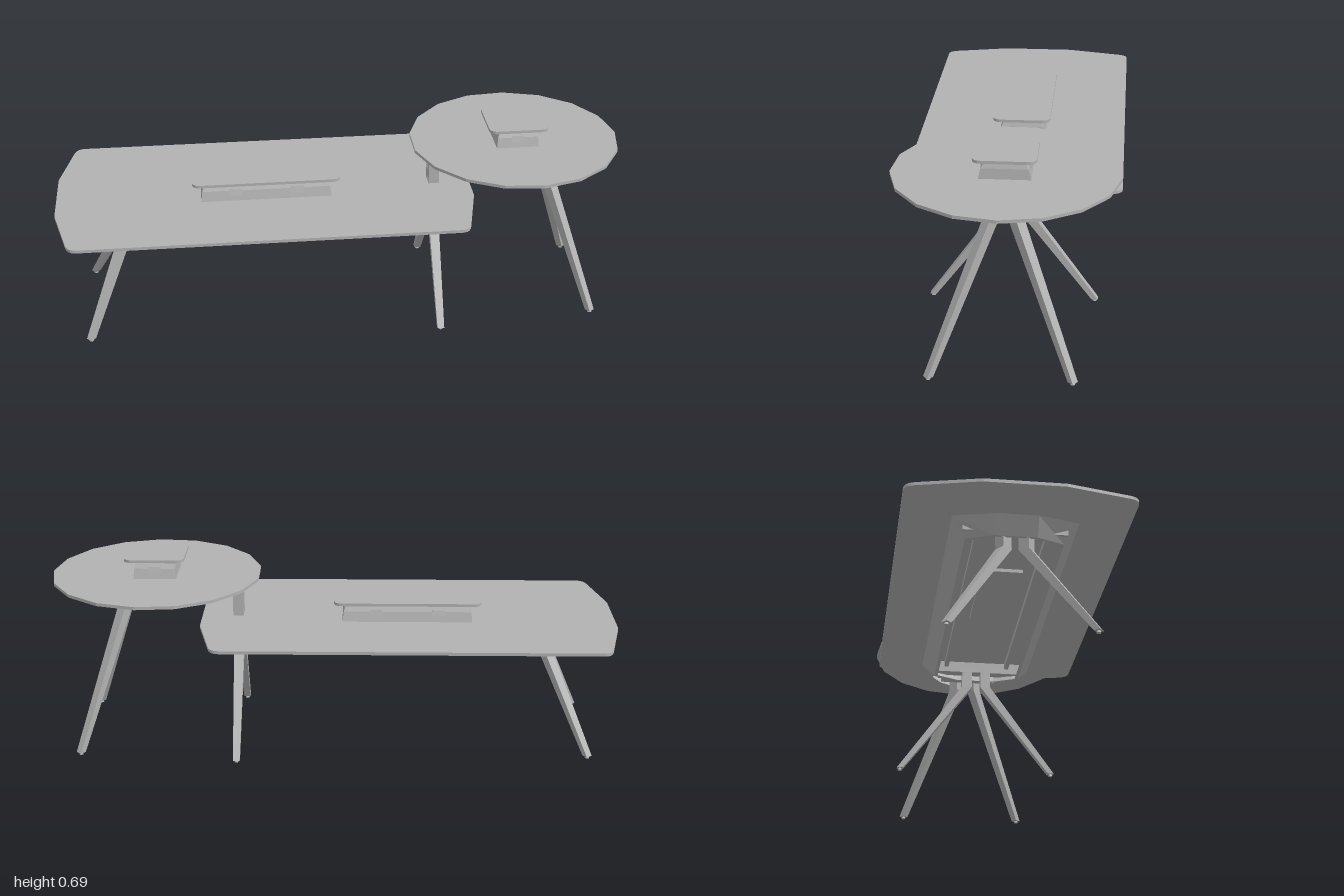
import * as THREE from 'three';

const grey = new THREE.MeshStandardMaterial({ color: 0xb2b2b2 });
grey.name = 'satin grey';
grey.flatShading = true;
grey.side = THREE.DoubleSide;

function add(parent, name, geometry, x = 0, y = 0, z = 0) {
  const mesh = new THREE.Mesh(geometry, grey);
  mesh.name = name;
  mesh.position.set(x, y, z);
  parent.add(mesh);
  return mesh;
}

// box given by its limits
function block(parent, name, x0, x1, y0, y1, z0, z1) {
  return add(parent, name, new THREE.BoxGeometry(x1 - x0, y1 - y0, z1 - z0),
    (x0 + x1) / 2, (y0 + y1) / 2, (z0 + z1) / 2);
}

// skin between rings of [x, y, z] points, optionally capped at both ends
function loft(rings, capped = true) {
  const n = rings[0].length, index = [];
  for (let r = 0; r < rings.length - 1; r++)
    for (let i = 0; i < n; i++) {
      const a = r * n + i, b = r * n + (i + 1) % n;
      index.push(a, a + n, b, b, a + n, b + n);
    }
  if (capped) {
    const last = (rings.length - 1) * n;
    for (let i = 1; i < n - 1; i++) index.push(0, i, i + 1, last, last + i + 1, last + i);
  }
  const g = new THREE.BufferGeometry();
  g.setAttribute('position', new THREE.Float32BufferAttribute(rings.flat(2), 3));
  g.setIndex(index);
  const flat = g.toNonIndexed();
  flat.computeVertexNormals();
  return flat;
}

// horizontal slab cut from an outline in x and z
function slab(shape, thickness) {
  const g = new THREE.ExtrudeGeometry(shape, { depth: thickness, bevelEnabled: false, curveSegments: 5 });
  return g.rotateX(-Math.PI / 2);
}

function roundedRect(hx, hz, r) {
  const s = new THREE.Shape();
  s.moveTo(-hx + r, -hz);
  s.lineTo(hx - r, -hz).quadraticCurveTo(hx, -hz, hx, -hz + r);
  s.lineTo(hx, hz - r).quadraticCurveTo(hx, hz, hx - r, hz);
  s.lineTo(-hx + r, hz).quadraticCurveTo(-hx, hz, -hx, hz - r);
  s.lineTo(-hx, -hz + r).quadraticCurveTo(-hx, -hz, -hx + r, -hz);
  return s;
}

// rectangle with bowed ends and rounded corners
function bowedTop(hx, hz) {
  const s = new THREE.Shape();
  s.moveTo(-hx + 0.085, -hz);
  for (const k of [1, -1]) {
    s.lineTo(k * (hx - 0.085), -k * hz);
    s.quadraticCurveTo(k * (hx - 0.055), -k * hz, k * (hx - 0.047), -k * (hz - 0.035));
    s.lineTo(k * hx, -k * 0.13);
    s.lineTo(k * hx, k * 0.13);
    s.lineTo(k * (hx - 0.047), k * (hz - 0.035));
    s.quadraticCurveTo(k * (hx - 0.055), k * hz, k * (hx - 0.085), k * hz);
  }
  return s;
}

// hollow under-frame: sloping outer wall, narrow rim, inner wall
function frame(outline, y0, y1) {
  const wall = 0.012;
  const at = (inset, y) => outline(inset).map(([x, z]) => [x, y, z]);
  return loft([at(0, y1), at(0.045, y0), at(0.045 + wall, y0), at(wall, y1)], false);
}

// cranked tapering leg with a levelling foot; (dx, dz) is the splay
function leg(parent, x, z, dx, dz, top, knee) {
  const len = Math.hypot(dx, dz), u = [dx / len, dz / len], v = [-u[1], u[0]];
  const section = (cx, cz, y, hu, hv) => [[-1, -1], [1, -1], [1, 1], [-1, 1]].map(
    ([a, b]) => [cx + a * hu * u[0] + b * hv * v[0], y, cz + a * hu * u[1] + b * hv * v[1]]);
  const g = new THREE.Group();
  g.name = 'leg';
  add(g, 'legBeam', loft([
    section(x, z, top, 0.019, 0.018),
    section(x, z, knee, 0.019, 0.018),
    section(x + dx, z + dz, 0.008, 0.011, 0.012),
  ]));
  add(g, 'footPad', new THREE.CylinderGeometry(0.005, 0.008, 0.009, 10), x + dx, 0.0045, z + dz);
  parent.add(g);
}

// raised socket unit: tapered body, rounded lid, socket plates on both long sides
function socketUnit(parent, x, y, lidX, bottomX, topX, sockets) {
  const g = new THREE.Group();
  g.name = 'socketUnit';
  g.position.set(x, y, 0);
  const ring = (hx, hz, yy) => [[-hx, yy, -hz], [hx, yy, -hz], [hx, yy, hz], [-hx, yy, hz]];
  add(g, 'unitBody', loft([ring(topX, 0.06, 0.066), ring((topX + bottomX) / 2 + 0.003, 0.075, 0.035),
    ring(bottomX, 0.084, 0)]));
  add(g, 'unitLid', slab(roundedRect(lidX, 0.102, 0.03), 0.01), 0, 0.065, 0);
  for (const s of [1, -1])
    for (const sx of sockets) {
      const plate = add(g, 'socketPlate', new THREE.BoxGeometry(0.045, 0.022, 0.004), sx, 0.03, s * 0.0765);
      plate.rotation.x = -s * 0.3;
    }
  parent.add(g);
}

export function createModel() {
  const model = new THREE.Group();
  model.name = 'tableSet';

  // long low table
  const low = new THREE.Group();
  low.name = 'longTable';
  model.add(low);
  add(low, 'longTop', slab(bowedTop(0.735, 0.37), 0.011), -0.265, 0.446, 0);
  const trayOutline = (d) => {
    const hx = 0.61 - d * 0.8, hz = 0.205 - d, c = -0.207, e = 0.035;
    return [[c - hx, -0.07], [c - hx + e, -hz], [c + hx - e, -hz], [c + hx, -0.07],
      [c + hx, 0.07], [c + hx - e, hz], [c - hx + e, hz], [c - hx, 0.07]];
  };
  add(low, 'longFrame', frame(trayOutline, 0.386, 0.446));
  for (const x of [-0.755, 0.34]) block(low, 'legCrossbar', x - 0.018, x + 0.018, 0.405, 0.446, -0.17, 0.17);
  for (const s of [1, -1]) {
    block(low, 'longRail', -0.74, 0.33, 0.425, 0.446, s * 0.115 - 0.008, s * 0.115 + 0.008);
    leg(low, -0.755, s * 0.037, -0.15, s * 0.193, 0.446, 0.35);
    leg(low, 0.34, s * 0.035, 0, s * 0.248, 0.446, 0.345);
  }
  block(low, 'cableTray', -0.45, -0.07, 0.434, 0.446, -0.07, 0.07);
  socketUnit(low, -0.262, 0.457, 0.26, 0.23, 0.215, [-0.11, 0.11]);

  // round high table
  const high = new THREE.Group();
  high.name = 'roundTable';
  model.add(high);
  const cx = 0.629;
  add(high, 'roundTop', new THREE.CylinderGeometry(0.371, 0.371, 0.011, 17).rotateY(-Math.PI / 2 + Math.PI)
    , cx, 0.608, 0);
  const circle = (d) => Array.from({ length: 17 }, (_, i) => {
    const a = -i * Math.PI * 2 / 17;
    return [cx + (0.206 - d) * Math.cos(a), (0.206 - d) * Math.sin(a)];
  });
  add(high, 'roundFrame', frame(circle, 0.541, 0.603));
  block(high, 'legCrossbar', 0.72, 0.76, 0.57, 0.603, -0.11, 0.11);
  for (const s of [1, -1]) {
    leg(high, 0.742, s * 0.037, 0.158, s * 0.193, 0.603, 0.505);
    block(high, 'legBracket', 0.79, 0.824, 0.547, 0.6, s * 0.0165 - 0.0125, s * 0.0165 + 0.0125);
    block(high, 'traySide', 0.57, 0.69, 0.523, 0.603, s * 0.1 - 0.004, s * 0.1 + 0.004);
    block(high, 'column', 0.323, 0.36, 0.457, 0.603, s * 0.0165 - 0.0135, s * 0.0165 + 0.0135);
  }
  block(high, 'cableTray', 0.57, 0.69, 0.523, 0.531, -0.104, 0.104);

  // arm from the column to the round frame
  const arm = new THREE.Shape([[0.358, 0.603], [0.358, 0.585], [0.45, 0.541], [0.572, 0.541], [0.572, 0.603]]
    .map(([x, y]) => new THREE.Vector2(x, y)));
  add(high, 'supportArm', new THREE.ExtrudeGeometry(arm, { depth: 0.06, bevelEnabled: false }), 0, 0, -0.03);
  socketUnit(high, cx, 0.613, 0.105, 0.075, 0.062, [0]);

  return model;
}
